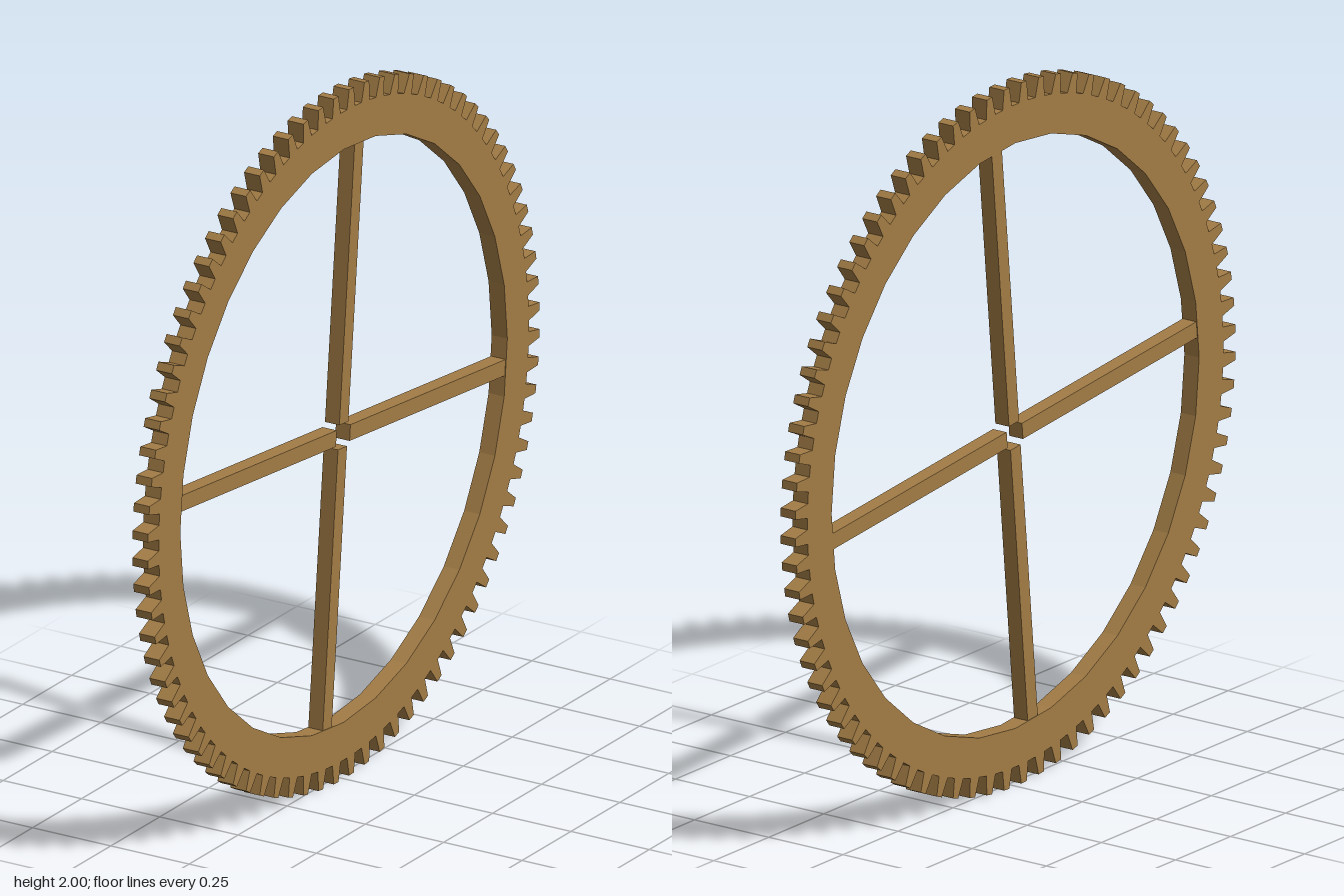
import * as THREE from 'three';

const TEETH = 80, THICK = 0.05;
const polar = (r, a) => new THREE.Vector2(r * Math.cos(a), r * Math.sin(a));

export function createModel() {
  const bronze = new THREE.MeshStandardMaterial({ color: 0xa27c45 });
  const gear = new THREE.Group();
  gear.name = 'gearWheel';

  // Toothed rim: tapered teeth outside, 32-sided opening inside
  const outline = [];
  const pitch = (Math.PI * 2) / TEETH;
  for (let i = 0; i < TEETH; i++) {
    const a = (i + 0.5) * pitch;
    outline.push(polar(0.945, a - 0.022), polar(1, a - 0.012), polar(1, a + 0.012), polar(0.945, a + 0.022));
  }
  const shape = new THREE.Shape(outline);
  const opening = [];
  for (let i = 0; i < 32; i++) opening.push(polar(0.835, -i * Math.PI / 16));
  shape.holes.push(new THREE.Path(opening));
  const rimGeo = new THREE.ExtrudeGeometry(shape, { depth: THICK, bevelEnabled: false });
  rimGeo.translate(0, 0, -THICK / 2);
  const rim = new THREE.Mesh(rimGeo, bronze);
  rim.name = 'toothedRim';
  gear.add(rim);

  // Four spokes, stopping short of the centre
  const inner = 0.035, outer = 0.845;
  const spokeGeo = new THREE.BoxGeometry(outer - inner, 0.046, 0.046);
  spokeGeo.translate((outer + inner) / 2, 0, 0);
  for (let i = 0; i < 4; i++) {
    const spoke = new THREE.Mesh(spokeGeo, bronze);
    spoke.name = 'spoke' + (i + 1);
    spoke.rotation.z = i * Math.PI / 2 - Math.PI / 32;
    gear.add(spoke);
  }

  // Stand the wheel upright with its axle along x
  gear.rotation.y = Math.PI / 2;
  gear.position.y = 1;
  const model = new THREE.Group();
  model.name = 'gear';
  model.add(gear);
  return model;
}
